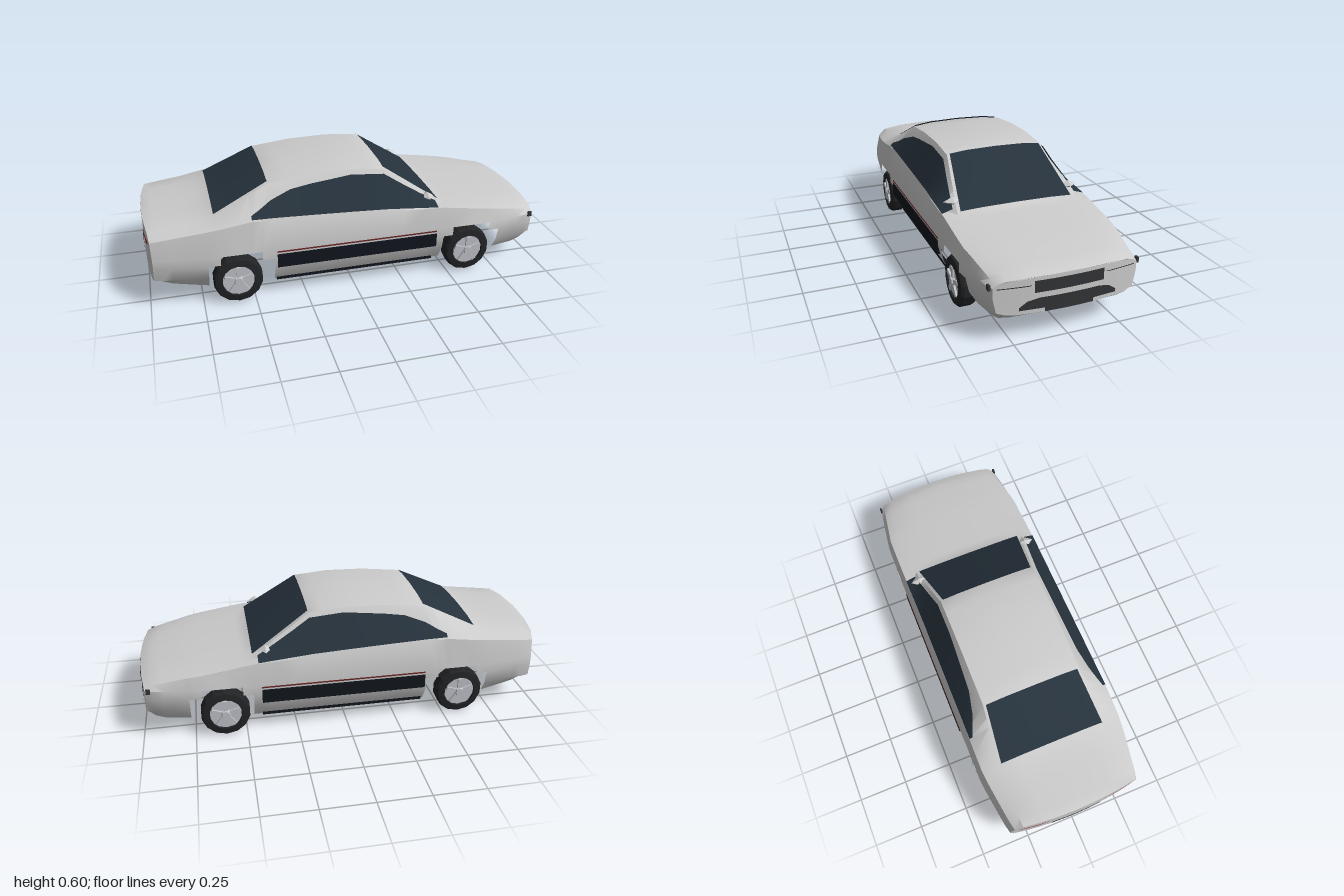
import * as THREE from 'three';
import { toCreasedNormals } from 'three/addons/utils/BufferGeometryUtils.js';

const mat = (color, side = THREE.FrontSide) => new THREE.MeshStandardMaterial({ color, side });
const GREY = mat(0xcccccc), GLASS = mat(0x26323c, THREE.DoubleSide), DARK = mat(0x333437, THREE.DoubleSide);
const BLACK = mat(0x11151c), RED = mat(0xb02a2a, THREE.DoubleSide), MAROON = mat(0x6b2626);
const TYRE = mat(0x222325), RIM = mat(0xbfc2c8);
TYRE.flatShading = RIM.flatShading = true;

const lerp = THREE.MathUtils.lerp;
// Piecewise linear curve through [x, value] pairs
const at = (pts, x) => {
  let i = 1;
  while (i < pts.length - 1 && x > pts[i][0]) i++;
  const [a, b] = [pts[i - 1], pts[i]];
  return lerp(a[1], b[1], THREE.MathUtils.clamp((x - a[0]) / (b[0] - a[0]), 0, 1));
};

// Lines along the length of the car (nose at +x)
const WIDTH = [[-1, .34], [-.95, .35], [-.68, .385], [.7, .385], [.95, .35], [1, .335]];
const FLOOR = [[-1, .135], [-.9, .105], [-.72, .08], [-.4, .072], [.46, .072], [.9, .085], [.96, .1], [1, .13]];
const BELT_Y = [[-1, .35], [-.72, .39], [-.5, .42], [0, .395], [.46, .372], [.77, .325], [1, .28]];
const EDGE_Y = [[-1, .385], [-.72, .415], [-.66, .43], [-.4, .555], [-.2, .577], [0, .582], [.17, .567], [.46, .375], [.77, .338], [.95, .308], [1, .29]];
const EDGE_Z = [[-1, .28], [-.72, .29], [-.66, .28], [-.4, .25], [.17, .25], [.46, .3], [.77, .3], [1, .28]];
const CROWN = [[-1, .4], [-.72, .428], [-.66, .448], [-.4, .572], [-.2, .59], [0, .597], [.17, .58], [.46, .382], [.77, .347], [.95, .318], [1, .298]];
const STATIONS = [-1, -.95, -.9, -.82, -.72, -.66, -.58, -.5, -.46, -.4, -.3, -.2, -.1, 0, .1, .17, .25, .35, .46, .51, .6, .71, .77, .85, .9, .95, .98, 1];

// Both ends bow slightly in plan
const bow = (x, z) => x - Math.sign(x) * .03 * (z / .33) ** 2 * Math.abs(x) ** 8;
const point = (x, y, z) => new THREE.Vector3(bow(x, z), y, z);

// Half cross-section from the floor centre, round the side, to the crown
function section(x) {
  const w = at(WIDTH, x), b = at(FLOOR, x), ye = at(EDGE_Y, x), ze = at(EDGE_Z, x), yc = at(CROWN, x);
  return [[0, b], [Math.min(.28, w - .1), b], [w - .055, b + .005], [w - .015, .15], [w, .22], [w, .265],
    [w - .02, at(BELT_Y, x)], [ze, ye], [ze * .6, lerp(ye, yc, .75)], [0, yc]];
}

// Adds the quads of a grid of points, leaving out those for which skip() holds
function addGrid(out, grid, flip, skip = () => false) {
  for (let i = 0; i < grid.length - 1; i++) for (let j = 0; j < grid[i].length - 1; j++) {
    if (skip(i, j)) continue;
    const a = grid[i][j], b = grid[i + 1][j], c = grid[i + 1][j + 1], d = grid[i][j + 1];
    for (const p of flip ? [a, c, b, a, d, c] : [a, b, c, a, c, d]) out.push(p.x, p.y, p.z);
  }
}

function toMesh(out, material, name) {
  const g = new THREE.BufferGeometry();
  g.setAttribute('position', new THREE.Float32BufferAttribute(out, 3));
  const mesh = new THREE.Mesh(toCreasedNormals(g, .6), material);
  mesh.name = name;
  return mesh;
}

function patch(name, material, grid) {
  const out = [];
  addGrid(out, grid, false);
  return toMesh(out, material, name);
}

// Hollow shell with stepped wheel openings
function makeBody() {
  const out = [];
  const inside = (x, a, b) => x > a && x < b;
  const opening = (i, j) => {
    const x = (STATIONS[i] + STATIONS[i + 1]) / 2;
    if (j >= 1 && j <= 3) return inside(x, -.72, -.4) || inside(x, .46, .77);
    return j === 4 && (inside(x, -.66, -.46) || inside(x, .51, .71));
  };
  for (const s of [1, -1]) {
    addGrid(out, STATIONS.map(x => section(x).map(([z, y]) => point(x, y, z * s))), s < 0, opening);
    for (const end of [1, -1]) {
      const rows = section(end).slice(1);
      const cap = [1, .75, .5, .25, 0].map(k => rows.map(([z, y]) => point(end, y, z * k * s)));
      addGrid(out, cap, s * end < 0);
    }
  }
  return toMesh(out, GREY, 'body');
}

const span = (a, b) => [a, ...STATIONS.filter(x => x > a && x < b), b];

// Front or rear screen, lying on the crown of the cabin
function makeScreen(name, x0, x1, tilt) {
  return patch(name, GLASS, span(x0, x1).map(x => {
    const ye = at(EDGE_Y, x), yc = at(CROWN, x), ze = at(EDGE_Z, x);
    return [.95, .6, 0, -.6, -.95].map(k => {
      const a = Math.abs(k);
      const y = a < .6 ? yc : lerp(ye, lerp(ye, yc, .75), (1 - a) / .4);
      const yy = a === .6 ? lerp(ye, yc, .75) : y;
      return new THREE.Vector3(x + tilt, yy + .005, ze * k);
    });
  }));
}

// Side window between the belt line and the roof edge
function makeSideWindow(s) {
  const top = [[-.5, .22], [-.42, .5], [-.3, .74], [0, .88], [.17, .88], [.43, .8]];
  return patch('sideWindow', GLASS, span(-.5, .43).map(x => {
    const sec = section(x);
    return [.06, at(top, x)].map(t => new THREE.Vector3(x,
      lerp(sec[6][1], sec[7][1], t) + .003, s * (lerp(sec[6][0], sec[7][0], t) + .005)));
  }));
}

// Thin panel on the bowed nose or tail; rows are [y, zFrom, zTo]
function endPanel(name, material, end, rows) {
  return patch(name, material, [0, .25, .5, .75, 1].map(k => rows.map(([y, z0, z1]) => {
    const p = point(end, y, lerp(z0, z1, k));
    p.x += end * .004;
    return p;
  })));
}

function box(name, material, w, h, d, x, y, z) {
  const m = new THREE.Mesh(new THREE.BoxGeometry(w, h, d), material);
  m.position.set(x, y, z);
  m.name = name;
  return m;
}

// Wheel with its outer face toward +z
function makeWheel() {
  const wheel = new THREE.Group();
  wheel.name = 'wheel';
  const profile = [[.085, -.037], [.112, -.037], [.12, -.025], [.12, .025], [.112, .037], [.08, .042], [.075, .025]];
  const tyre = new THREE.Mesh(new THREE.LatheGeometry(profile.map(p => new THREE.Vector2(...p)), 14), TYRE);
  tyre.rotation.x = Math.PI / 2;
  tyre.name = 'tyre';
  const disc = new THREE.Mesh(new THREE.CylinderGeometry(.086, .086, .066, 14), RIM);
  disc.rotation.x = Math.PI / 2;
  disc.name = 'rim';
  wheel.add(tyre, disc);
  for (let i = 0; i < 5; i++) {
    const spoke = box('spoke', RIM, .022, .07, .012, 0, .037, .037);
    const arm = new THREE.Group();
    arm.name = 'spokeArm';
    arm.rotation.z = i * Math.PI * 2 / 5;
    arm.add(spoke);
    wheel.add(arm);
  }
  const hub = new THREE.Mesh(new THREE.CylinderGeometry(.02, .028, .02, 8), RIM);
  hub.rotation.x = Math.PI / 2;
  hub.position.z = .04;
  hub.name = 'hub';
  wheel.add(hub);
  return wheel;
}

export function createModel() {
  const car = new THREE.Group();
  car.name = 'car';
  car.add(makeBody(), makeScreen('windscreen', .17, .45, .004), makeScreen('rearScreen', -.665, -.4, -.004));

  // Nose and tail panels
  car.add(endPanel('upperGrille', DARK, 1, [[.225, .16, -.16], [.28, .16, -.16]]));
  car.add(endPanel('lowerGrille', DARK, 1, [[.15, .225, -.225], [.165, .225, -.225], [.19, .19, -.19], [.2, .14, -.14]]));
  car.add(endPanel('frontPlate', DARK, 1, [[.132, .113, -.113], [.152, .113, -.113]]));
  car.add(endPanel('rearPlate', DARK, -1, [[.2, -.13, .13], [.26, -.13, .13]]));

  for (const s of [1, -1]) {
    car.add(makeSideWindow(s));
    car.add(endPanel('headlightLine', DARK, 1, [[.258, s * .18, s * .32], [.262, s * .17, s * .32]]));
    car.add(endPanel('tailLight', RED, -1, [[.32, s * .2, s * .26], [.335, s * .14, s * .3], [.35, s * .2, s * .31]]));

    // Side trim
    car.add(box('sideStrip', BLACK, .81, .07, .02, .015, .207, s * .379));
    car.add(box('pinstripe', MAROON, .81, .007, .02, .015, .255, s * .377));
    car.add(box('sillLine', BLACK, .81, .016, .02, .015, .08, s * .326));
    car.add(box('sideMarker', DARK, .02, .025, .01, .953, .265, s * .346));

    // Door mirror
    const mirror = new THREE.Mesh(new THREE.OctahedronGeometry(1), GREY);
    mirror.scale.set(.033, .022, .046);
    mirror.position.set(.39, .417, s * .3);
    mirror.name = 'doorMirror';
    car.add(mirror);

    // Wheels
    for (const x of [-.58, .6]) {
      const wheel = makeWheel();
      wheel.position.set(x, .12, s * .338);
      if (s < 0) wheel.rotation.y = Math.PI;
      car.add(wheel);
    }
  }
  return car;
}
